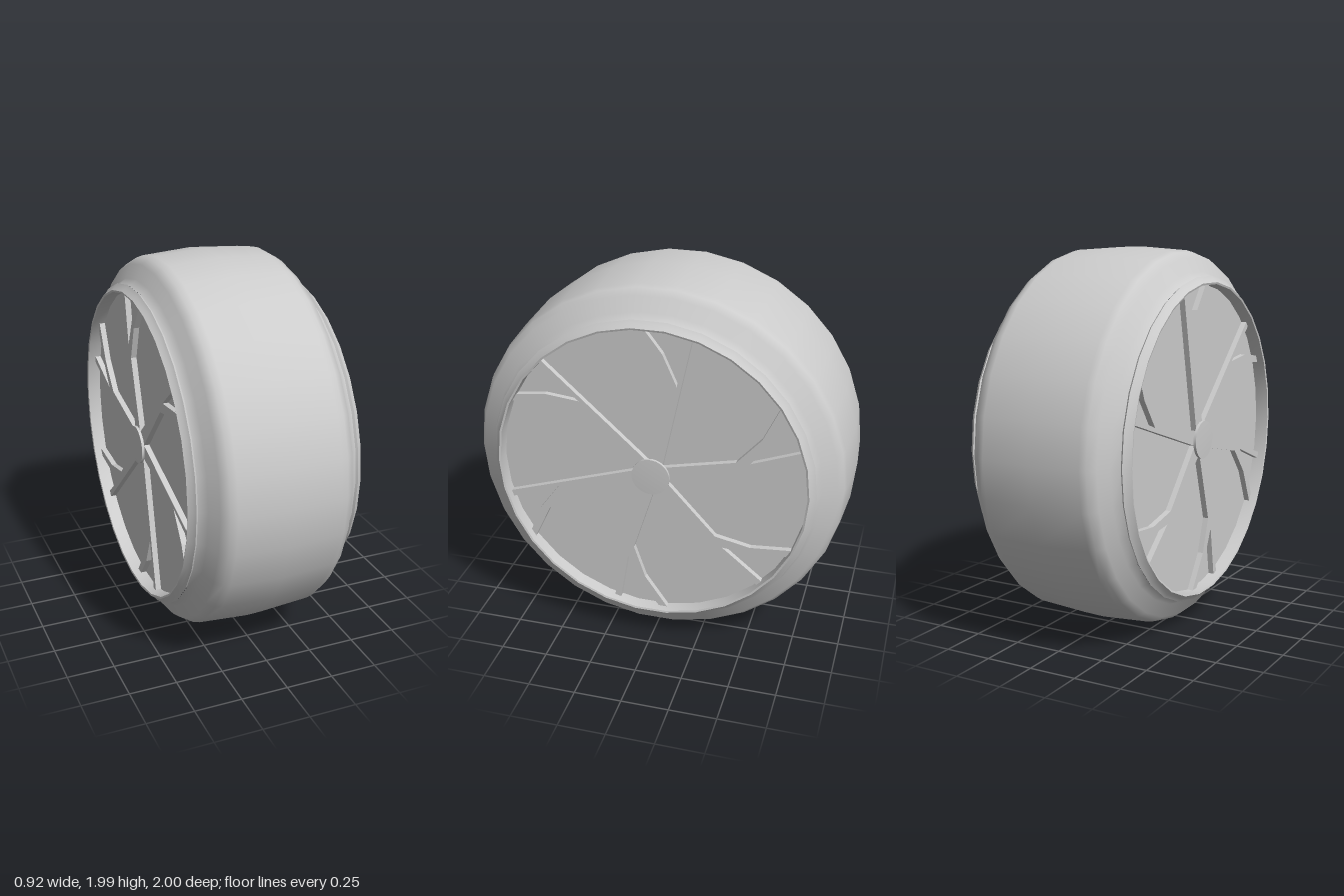
import * as THREE from 'three';
import { toCreasedNormals } from 'three/addons/utils/BufferGeometryUtils.js';

const SIDES = 30;
const CENTRE_Y = 0.995;

// Surface of revolution round the x axis from [x, radius] points, x ascending on the outside
function revolve(points) {
  const profile = points.map(([x, r]) => new THREE.Vector2(r, x));
  return new THREE.LatheGeometry(profile, SIDES).rotateZ(-Math.PI / 2);
}

// Flips a profile to the other side, keeping the faces outward
function mirrored(points, side) {
  return side > 0 ? points : points.map(([x, r]) => [-x, r]).reverse();
}

export function createModel() {
  const model = new THREE.Group();
  model.name = 'wheel';
  const grey = new THREE.MeshStandardMaterial({ color: 0xcccccc });
  grey.name = 'light grey';

  const add = (parent, name, geometry) => {
    const mesh = new THREE.Mesh(geometry, grey);
    mesh.name = name;
    parent.add(mesh);
    return mesh;
  };

  const wheel = new THREE.Group();
  wheel.name = 'wheelAssembly';
  wheel.position.y = CENTRE_Y;
  model.add(wheel);

  // Tyre with a slightly crowned tread and stepped shoulders
  const half = [[0.27, 0.982], [0.305, 0.973], [0.345, 0.945], [0.375, 0.872], [0.415, 0.845]];
  add(wheel, 'tyre', revolve([...mirrored(half, -1), [0, 1], ...half]));

  // Rim lip, outside to inside
  const rim = [[0.405, 0.835], [0.425, 0.852], [0.437, 0.836], [0.458, 0.82], [0.455, 0.81], [0.38, 0.808]];
  // Domed hub cap on a short stem
  const hub = [[0.38, 0.06], [0.42, 0.06], [0.42, 0.1], [0.434, 0.1], [0.438, 0]];
  // Forked spoke outline, pointing up
  const spoke = [
    [0.05, 0.02], [0.214, 0.785], [0.18, 0.795], [0.134, 0.513], [0.06, 0.68], [-0.04, 0.81],
    [-0.085, 0.81], [0.04, 0.63], [0.1, 0.45], [-0.035, 0.02],
  ];

  for (const side of [1, -1]) {
    const face = new THREE.Group();
    face.name = side > 0 ? 'rightFace' : 'leftFace';
    wheel.add(face);

    add(face, 'rim', toCreasedNormals(revolve(mirrored(rim, side)), 0.4));
    add(face, 'hubCap', toCreasedNormals(revolve(mirrored(hub, side)), 0.4));

    // Flat disc behind the spokes
    const disc = new THREE.CircleGeometry(0.815, SIDES).rotateY(side * Math.PI / 2);
    add(face, 'disc', disc.translate(side * 0.385, 0, 0));

    // Six forked spokes
    const shape = new THREE.Shape(spoke.map(([u, v]) => new THREE.Vector2(side * u, v)));
    for (let i = 0; i < 6; i++) {
      const geometry = new THREE.ExtrudeGeometry(shape, { depth: 0.035, bevelEnabled: false });
      geometry.rotateZ(i * Math.PI / 3).translate(0, 0, 0.38).rotateY(side * Math.PI / 2);
      add(face, 'spoke', geometry);
    }
  }
  return model;
}
